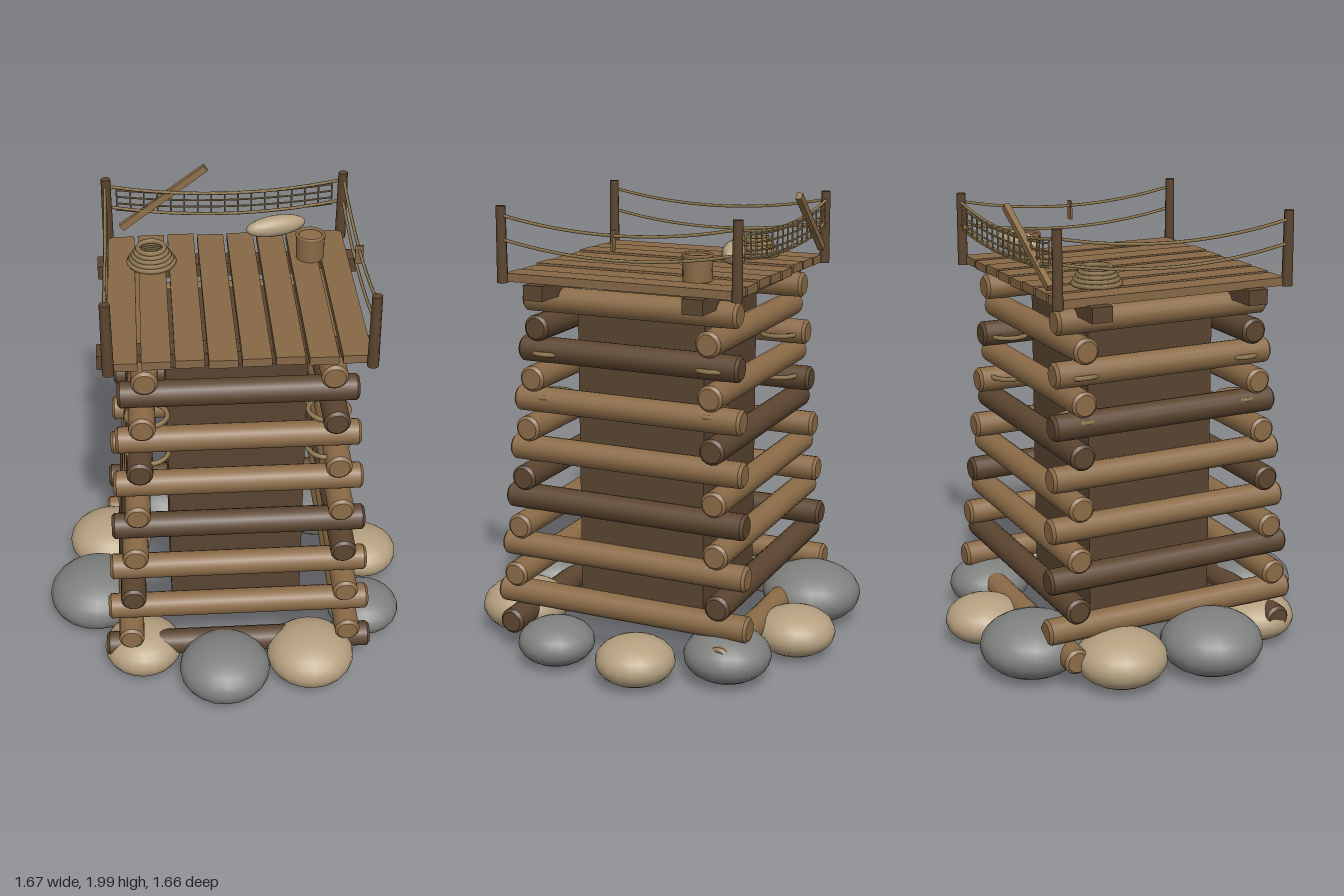
import * as THREE from 'three';

export function createModel() {
  const root = new THREE.Group();
  const mat = (name, color) => {
    const m = new THREE.MeshStandardMaterial({ color });
    m.name = name;
    return m;
  };
  const lightWood = mat('light wood', 0x8b6b47);
  const darkWood = mat('dark wood', 0x5c4530);
  const coreWood = mat('core wood', 0x584430);
  const plankWood = mat('plank wood', 0x866846);
  const rope = mat('rope', 0x8f7850);
  const greyStone = mat('grey stone', 0x7f817e);
  const tanStone = mat('tan stone', 0xb5a080);

  const CX = 0.022, CZ = -0.016; // tower axis
  const add = (name, geo, material, x = 0, y = 0, z = 0) => {
    const m = new THREE.Mesh(geo, material);
    m.name = name;
    m.position.set(x, y, z);
    root.add(m);
    return m;
  };
  const V = (x, y, z) => new THREE.Vector3(x, y, z);

  // Log with slightly bevelled ends, lying along y
  const logGeo = (r, len) => {
    const h = len / 2, b = 0.012;
    return new THREE.LatheGeometry([
      [0, -h], [r - b, -h], [r - b, -h], [r, -h + b], [r, -h + b],
      [r, h - b], [r, h - b], [r - b, h], [r - b, h], [0, h],
    ].map(p => new THREE.Vector2(p[0], p[1])), 16);
  };

  // Solid inner shaft
  add('core', new THREE.BoxGeometry(0.588, 1.355, 0.588), coreWood, CX, 0.857, CZ);

  // Stacked log courses, alternating direction and leaning inward
  for (let i = 0; i < 14; i++) {
    const y = 0.147 + 0.1083 * i;
    const half = 0.489 - 0.0082 * i;
    for (let s = 0; s < 2; s++) {
      const dark = [0, 5].includes((2 * i + s) % 6);
      const alongX = i % 2 === 0;
      const log = add('log', logGeo(0.056, 2 * (half + 0.105)), dark ? darkWood : lightWood);
      if (alongX) {
        log.rotation.z = Math.PI / 2;
        log.position.set(CX, y, CZ + (s ? -half : half));
      } else {
        log.rotation.x = Math.PI / 2;
        log.position.set(CX + (s ? half : -half), y, CZ);
      }
    }
  }

  // Rope lashings around the upper corners
  for (const y of [1.14, 1.33])
    for (const sx of [-1, 1])
      for (const sz of [-1, 1]) {
        const t = add('lashing', new THREE.TorusGeometry(0.085, 0.011, 6, 20), rope,
          CX + sx * 0.377, y, CZ + sz * 0.377);
        t.rotation.x = Math.PI / 2;
      }

  // Foundation stones: x, z, radius
  [
    [-0.295, -0.595, 0.225], [0.1, -0.66, 0.175], [0.47, -0.49, 0.187],
    [0.665, -0.153, 0.17], [0.62, 0.245, 0.166], [0.34, 0.555, 0.195],
    [-0.05, 0.625, 0.202], [-0.41, 0.45, 0.174], [-0.617, 0.105, 0.223],
    [-0.557, -0.297, 0.198],
  ].forEach(([x, z, r], i) => {
    const s = add('stone', new THREE.SphereGeometry(r, 20, 14),
      i % 2 ? tanStone : greyStone, x, 0.6 * r + 0.005, z);
    s.scale.y = 0.6;
  });

  // Platform beams and planks
  for (const z of [0.34, -0.374])
    add('beam', new THREE.BoxGeometry(1.14, 0.064, 0.09), darkWood, CX, 1.611, z);
  for (let i = 0; i < 8; i++)
    add('plank', new THREE.BoxGeometry(0.117, 0.036, 1.03), plankWood,
      -0.443 + 0.1328 * i, 1.66 + (i % 3 - 1) * 0.003, -0.02);

  // Corner posts
  const PX = [-0.5, 0.545], PZ = [-0.545, 0.508];
  for (const x of PX)
    for (const z of PZ)
      add('post', new THREE.CylinderGeometry(0.021, 0.024, 0.32, 8), darkWood, x, 1.797, z);

  // Sagging rope between two points
  const sagRope = (name, a, b, sag, r) => {
    const pts = [];
    for (let k = 0; k <= 8; k++) {
      const t = k / 8;
      const p = a.clone().lerp(b, t);
      p.y -= 4 * sag * t * (1 - t);
      pts.push(p);
    }
    add(name, new THREE.TubeGeometry(new THREE.CatmullRomCurve3(pts), 24, r, 6), rope);
  };

  // Side rails
  for (const x of [-0.505, 0.55])
    for (const y of [1.92, 1.82])
      sagRope('railRope', V(x, y, PZ[0]), V(x, y, PZ[1]), 0.055, 0.007);

  // Back rail and fishing net
  const NZ = -0.55, topY = 1.92, lowY = 1.82, sag = 0.05;
  sagRope('backRope', V(PX[0], topY, NZ), V(PX[1], topY, NZ), sag, 0.007);
  sagRope('backRope', V(PX[0], lowY, NZ), V(PX[1], lowY, NZ), sag, 0.007);
  for (let k = 0; k < 4; k++) {
    const y = 1.895 - k * 0.032;
    sagRope('netLine', V(-0.455, y, NZ - 0.008), V(0.5, y, NZ - 0.008), 0.03, 0.004);
  }
  for (let k = 0; k <= 16; k++) {
    const t = k / 16, d = 0.03 * 4 * t * (1 - t);
    add('netCord', new THREE.CylinderGeometry(0.004, 0.004, 0.11, 6), rope,
      -0.455 + 0.955 * t, 1.85 - d, NZ - 0.008);
  }

  // Tag hanging from the rail
  add('tag', new THREE.BoxGeometry(0.035, 0.085, 0.008), plankWood, 0.55, 1.845, -0.012);

  // Pole leaning against the net
  const a = V(-0.44, 1.715, -0.55), b = V(-0.06, 1.985, -0.575);
  const pole = add('leaningPole', new THREE.BoxGeometry(0.03, a.distanceTo(b), 0.026), lightWood);
  pole.position.copy(a).lerp(b, 0.5);
  pole.quaternion.setFromUnitVectors(V(0, 1, 0), b.clone().sub(a).normalize());

  // Coil of rope
  for (let i = 0; i < 5; i++) {
    const t = add('ropeCoil', new THREE.TorusGeometry(0.098 - i * 0.01, 0.011, 6, 24), rope,
      -0.312, 1.69 + i * 0.016, -0.287);
    t.rotation.x = Math.PI / 2;
  }

  // Bucket
  add('bucket', new THREE.CylinderGeometry(0.064, 0.061, 0.105, 16), lightWood, 0.38, 1.73, -0.305);
  const rim = add('bucketRim', new THREE.TorusGeometry(0.058, 0.008, 6, 20), lightWood, 0.38, 1.783, -0.305);
  rim.rotation.x = Math.PI / 2;

  // Float resting by the net
  const float = add('float', new THREE.SphereGeometry(1, 20, 12), tanStone, 0.238, 1.78, -0.403);
  float.scale.set(0.138, 0.046, 0.046);
  float.rotation.y = 0.27;

  return root;
}
